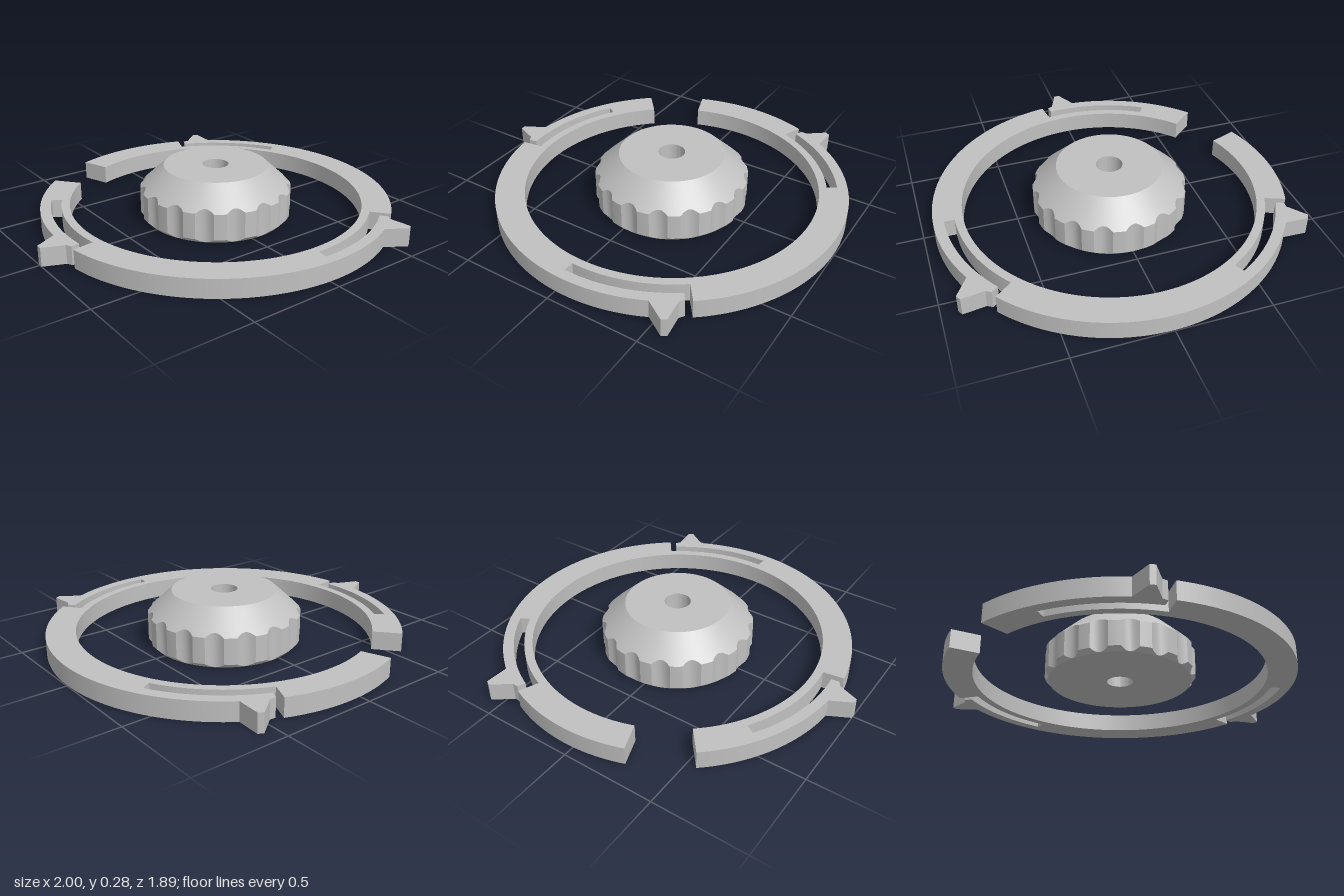
import * as THREE from 'three';
import { toCreasedNormals } from 'three/addons/utils/BufferGeometryUtils.js';

const CREASE = THREE.MathUtils.degToRad(25);

// Split ring with three sprung arms, each ending in an outward tooth
function ringGeometry() {
  const OUTER = 0.943, INNER = 0.788, SLOT_IN = 0.832, SLOT_OUT = 0.887, TIP = 1.053;
  const points = [];
  const add = (radius, degrees) => {
    const a = THREE.MathUtils.degToRad(degrees);
    points.push(new THREE.Vector2(radius * Math.cos(a), -radius * Math.sin(a)));
  };
  const arc = (radius, from, to) => {
    const n = Math.ceil(Math.abs(to - from) / 2);
    for (let i = 0; i <= n; i++) add(radius, from + (to - from) * i / n);
  };
  let start = -110;
  for (const s of [-67.8, 52.2, 172.2]) {
    arc(OUTER, start, s);
    arc(SLOT_IN, s, s + 39.8); // slot, inner side
    arc(SLOT_OUT, s + 39.8, s + 2.2); // slot, arm side
    add(OUTER - 0.012, s + 2.1); // arm end
    add(OUTER, s + 3.9);
    add(TIP, s + 6.8); // tooth
    add(TIP, s + 8.4);
    start = s + 12;
  }
  arc(OUTER, start, 230);
  arc(INNER, 230, -110);
  const geometry = new THREE.ExtrudeGeometry(new THREE.Shape(points), { depth: 0.1, bevelEnabled: false });
  geometry.rotateX(-Math.PI / 2);
  return toCreasedNormals(geometry, CREASE);
}

// Bored knob with a conical top and finger grooves around its wall
function knobGeometry() {
  const GROOVES = 16, STEPS = 10, R = 0.409, DEPTH = 0.022, TOP_R = 0.28, TOP_Y = 0.285, BASE_R = 0.385, BORE = 0.07;
  const pitch = 2 * Math.PI / GROOVES, half = pitch * 0.3;
  const profile = [[BORE, 0], [BASE_R, 0], [R, 0.024], [R, 0.165], [TOP_R, TOP_Y], [BORE, TOP_Y], [BORE, 0]]
    .map(([x, y]) => new THREE.Vector2(x, y));
  const geometry = new THREE.LatheGeometry(profile, GROOVES * STEPS);
  const p = geometry.attributes.position;
  for (let i = 0; i < p.count; i++) {
    const row = i % profile.length;
    if (row !== 2 && row !== 3) continue;
    const angle = Math.atan2(p.getX(i), p.getZ(i));
    const t = (angle - Math.round(angle / pitch) * pitch) / half;
    const radius = R - DEPTH * Math.max(0, 1 - t * t);
    // wall ends follow the base chamfer and the cone
    const y = row === 2 ? radius - BASE_R : TOP_Y - (radius - TOP_R) * 0.12 / (R - TOP_R);
    p.setXYZ(i, radius * Math.sin(angle), y, radius * Math.cos(angle));
  }
  return toCreasedNormals(geometry, CREASE);
}

export function createModel() {
  const grey = new THREE.MeshStandardMaterial({ color: 0xc0c0c0 });
  grey.name = 'light grey';
  const model = new THREE.Group();
  model.name = 'knobAndSpringRing';
  for (const [name, geometry] of [['springRing', ringGeometry()], ['knob', knobGeometry()]]) {
    const mesh = new THREE.Mesh(geometry, grey);
    mesh.name = name;
    mesh.position.x = 0.053;
    model.add(mesh);
  }
  return model;
}
